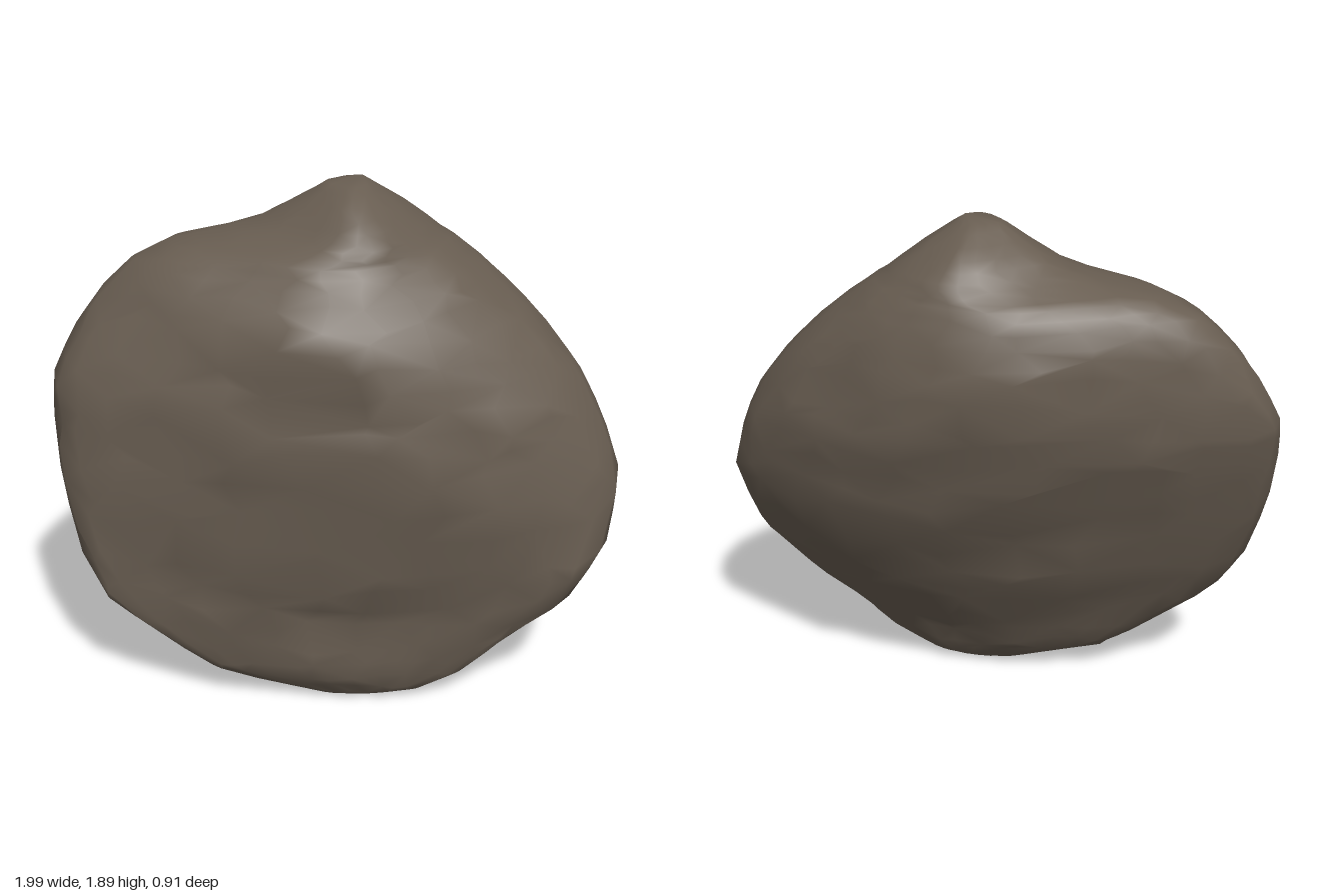
import * as THREE from 'three';

// Level sections of the boulder: height, left x, right x, front z, back z, rim z
const SECTIONS = [
  [0.00, 0.00, 0.10, 0.23, 0.21, 0.22],
  [0.03, -0.11, 0.28, 0.26, 0.18, 0.23],
  [0.12, -0.43, 0.46, 0.295, 0.11, 0.24],
  [0.24, -0.59, 0.58, 0.315, 0.035, 0.25],
  [0.42, -0.82, 0.82, 0.345, -0.07, 0.24],
  [0.60, -0.92, 0.95, 0.385, -0.18, 0.19],
  [0.85, -0.98, 1.00, 0.43, -0.31, 0.11],
  [1.05, -1.00, 0.935, 0.445, -0.39, 0.05],
  [1.20, -1.00, 0.86, 0.445, -0.43, 0.01],
  [1.35, -0.93, 0.75, 0.43, -0.445, -0.03],
  [1.50, -0.82, 0.61, 0.385, -0.43, -0.06],
  [1.60, -0.71, 0.49, 0.335, -0.41, -0.08],
  [1.66, -0.58, 0.41, 0.29, -0.385, -0.09],
  [1.69, -0.42, 0.36, 0.27, -0.365, -0.09],
  [1.73, -0.28, 0.31, 0.235, -0.335, -0.09],
  [1.79, -0.17, 0.23, 0.18, -0.27, -0.08],
  [1.85, -0.07, 0.14, 0.09, -0.16, -0.06],
  [1.89, -0.01, 0.08, -0.03, -0.08, -0.055],
];

// Dents (negative) and bulges on the two faces: side, x, y, radius x, radius y, amount
const DENTS = [
  [1, -0.33, 1.6, 0.16, 0.1, -0.06],
  [1, -0.7, 1.42, 0.22, 0.18, -0.06],
  [1, -0.12, 1.4, 0.12, 0.14, 0.02],
  [1, -0.42, 0.95, 0.08, 0.3, 0.025],
  [1, -0.2, 0.95, 0.12, 0.25, -0.015],
  [1, -0.65, 0.45, 0.22, 0.18, -0.035],
  [1, 0.35, 0.36, 0.3, 0.07, -0.025],
  [1, 0.85, 0.55, 0.14, 0.14, 0.08],
  [1, 0.3, 1.05, 0.18, 0.2, 0.015],
  [-1, 0.0, 1.7, 0.12, 0.08, -0.04],
  [-1, -0.6, 1.4, 0.2, 0.12, -0.02],
  [-1, 0.45, 0.7, 0.22, 0.18, 0.02],
];

// Section at a fractional position in the list
function sectionAt(position) {
  const i = Math.min(Math.floor(position), SECTIONS.length - 2);
  return SECTIONS[i].map((v, k) => THREE.MathUtils.lerp(v, SECTIONS[i + 1][k], position - i));
}

function seeded(seed) {
  let s = seed;
  return () => (s = (s * 16807) % 2147483647) / 2147483647;
}

// Point on the boulder surface at a section position and an angle around it
function surfacePoint(position, angle) {
  const [y, xl, xr, zf, zb, rim] = sectionAt(position);
  const mid = THREE.MathUtils.lerp(xl, xr, 0.56);
  const c = Math.cos(angle), s = Math.sin(angle), side = s >= 0 ? 1 : -1;
  const x = mid + c * (c > 0 ? xr - mid : mid - xl);
  // the flanks taper more on the right-hand side, most of all high at the back
  const backTaper = 0.88 - 0.24 * THREE.MathUtils.smoothstep(y, 0, 0.9);
  const fullness = side > 0 ? (c > 0 ? 0.87 : 0.78) : (c > 0 ? 0.88 : backTaper);
  const depth = Math.abs(s);
  const bulge = fullness * depth + (1 - fullness) * depth ** 8;
  let z = rim + bulge * ((side > 0 ? zf : zb) - rim);
  for (const [face, dx, dy, rx, ry, amount] of DENTS) {
    if (face !== side) continue;
    z += side * bulge * amount * Math.exp(-(((x - dx) / rx) ** 2) - ((y - dy) / ry) ** 2);
  }
  // broad shallow lumps
  z += 0.014 * bulge * Math.sin(11 * x + 5 * y + side) * Math.sin(10 * y - 6 * x);
  return [x, y, z];
}

function boulderGeometry(cols) {
  const random = seeded(4217);
  const positions = [], index = [];
  const last = SECTIONS.length - 1, rows = last * 2;
  positions.push(...surfacePoint(0, 0));
  for (let i = 1; i < rows; i++) {
    const calm = THREE.MathUtils.clamp((rows - i - 10) / 4, 0.1, 1);
    for (let j = 0; j < cols; j++) {
      // uneven spacing and slight roughness give irregular chipped facets
      const onRim = j % (cols / 2) === 0;
      const jitter = onRim ? 0 : (random() - 0.5) * 0.6;
      const angle = ((j + jitter) / cols) * Math.PI * 2;
      const [x, y, z] = surfacePoint(i / 2 + (random() - 0.5) * 0.4 * calm, angle);
      const rough = (random() - 0.5) * 0.03 * Math.min(calm, i / 8);
      positions.push(x, y, z + Math.sin(angle) * rough);
    }
  }
  positions.push(...surfacePoint(last, 0));
  const top = positions.length / 3 - 1;
  const at = (i, j) => 1 + (i - 1) * cols + (j % cols);
  for (let j = 0; j < cols; j++) {
    index.push(0, at(1, j), at(1, j + 1));
    index.push(top, at(rows - 1, j + 1), at(rows - 1, j));
    for (let i = 1; i < rows - 1; i++) {
      const a = at(i, j), b = at(i, j + 1), c = at(i + 1, j), d = at(i + 1, j + 1);
      // alternating diagonals keep the facets from lining up
      if ((i + j) % 2) index.push(a, d, b, a, c, d);
      else index.push(a, c, b, b, c, d);
    }
  }
  const geometry = new THREE.BufferGeometry();
  geometry.setAttribute('position', new THREE.Float32BufferAttribute(positions, 3));
  geometry.setIndex(index);
  geometry.computeVertexNormals();
  return geometry;
}

export function createModel() {
  const group = new THREE.Group();
  group.name = 'rock';
  const material = new THREE.MeshStandardMaterial({ color: 0x685d51 });
  const boulder = new THREE.Mesh(boulderGeometry(28), material);
  boulder.name = 'boulder';
  group.add(boulder);
  return group;
}
